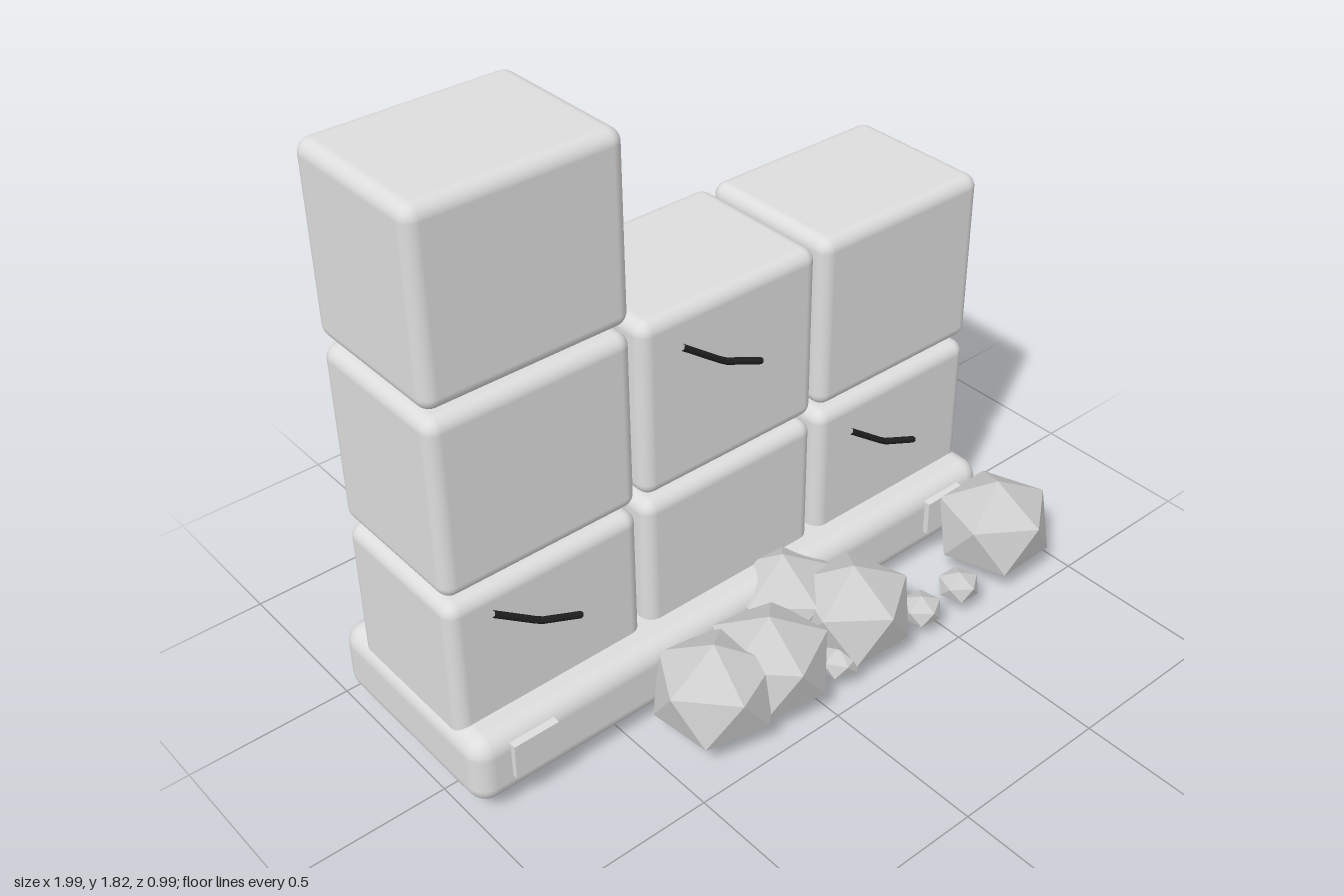
import * as THREE from 'three';
import { RoundedBoxGeometry } from 'three/addons/geometries/RoundedBoxGeometry.js';

export function createModel() {
  const model = new THREE.Group();
  model.name = 'ruinedWall';

  const stone = new THREE.MeshStandardMaterial({ color: 0xdddddd });
  stone.name = 'stone grey';
  const rubble = new THREE.MeshStandardMaterial({ color: 0xcccccc, flatShading: true });
  rubble.name = 'rubble grey';
  const dark = new THREE.MeshStandardMaterial({ color: 0x222222 });
  dark.name = 'crack black';

  const add = (name, geometry, material, x, y, z) => {
    const mesh = new THREE.Mesh(geometry, material);
    mesh.name = name;
    mesh.position.set(x, y, z);
    model.add(mesh);
    return mesh;
  };

  // Plinth under the wall
  add('base', new RoundedBoxGeometry(1.92, 0.226, 0.67, 4, 0.06), stone, -0.038, 0.167, -0.155);

  // Stone blocks: three columns of differing height
  const block = new RoundedBoxGeometry(0.615, 0.547, 0.478, 4, 0.04);
  [3, 2, 2].forEach((count, column) => {
    for (let row = 0; row < count; row++) {
      add('block', block, stone, -0.675 + column * 0.637, 0.416 + row * 0.569, -0.153);
    }
  });

  // Small raised plates on the front of the plinth
  for (const x of [-0.818, 0.74]) {
    add('basePlate', new THREE.BoxGeometry(0.145, 0.115, 0.04), stone, x, 0.188, 0.178);
  }

  // Bent cracks on three of the blocks
  const crackPath = new THREE.CurvePath();
  const bend = [[0, 0], [0.145, -0.107], [0.275, -0.162]]
    .map(([x, y]) => new THREE.Vector3(x, y, 0.093));
  crackPath.add(new THREE.LineCurve3(bend[0], bend[1]));
  crackPath.add(new THREE.LineCurve3(bend[1], bend[2]));
  const crack = new THREE.TubeGeometry(crackPath, 12, 0.01, 6);
  for (const [x, y] of [[-0.855, 0.618], [-0.218, 1.155], [0.415, 0.588]]) {
    add('crack', crack, dark, x, y, 0);
  }

  // Fallen rocks: squashed icosahedra standing on a vertex
  const rock = new THREE.IcosahedronGeometry(1, 0);
  rock.rotateZ(Math.atan(2 / (1 + Math.sqrt(5))));
  const addRock = (name, x, y, z, radius, height, turn) => {
    const mesh = add(name, rock, rubble, x, y, z);
    mesh.scale.set(radius, height, radius);
    mesh.rotation.y = turn;
  };
  [[-0.3, 0.31], [-0.11, 0.325], [0.1, 0.15], [0.22, 0.322], [0.828, 0.325]].forEach(([x, z], i) =>
    addRock('largeRock', x, 0.17, z, 0.191, 0.16, 0.1 + i * 0.06));
  [0.095, 0.28, 0.433, 0.597].forEach((x, i) =>
    addRock('pebble', x, 0.097, 0.4, 0.068, 0.047, i * 0.1));

  return model;
}
